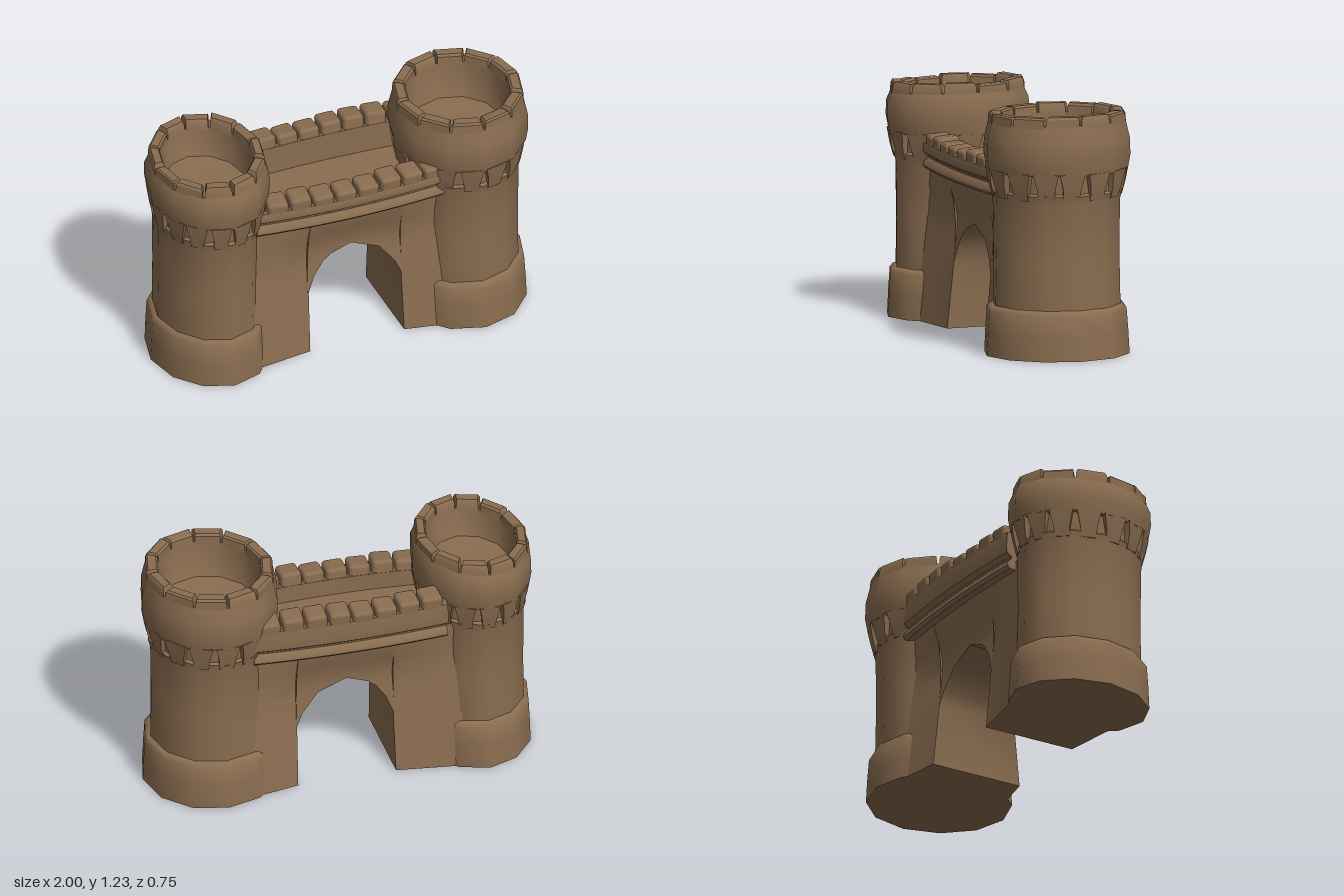
import * as THREE from 'three';
import { toCreasedNormals } from 'three/addons/utils/BufferGeometryUtils.js';
import { RoundedBoxGeometry } from 'three/addons/geometries/RoundedBoxGeometry.js';

const SIDES = 12;

export function createModel() {
  const model = new THREE.Group();
  model.name = 'castleGate';
  const stone = new THREE.MeshStandardMaterial({ color: 0x8a6d50 });
  stone.name = 'brownStone';

  // seeded variation for the hand-shaped look
  let seed = 7;
  const vary = (amount) => {
    seed = (seed * 16807) % 2147483647;
    return (seed / 2147483647 - 0.5) * 2 * amount;
  };

  const add = (parent, name, geometry) => {
    const mesh = new THREE.Mesh(geometry, stone);
    mesh.name = name;
    parent.add(mesh);
    return mesh;
  };

  // move every vertex by a rule
  const shape = (geometry, rule) => {
    const p = geometry.attributes.position;
    const v = new THREE.Vector3();
    for (let i = 0; i < p.count; i++) {
      rule(v.fromBufferAttribute(p, i));
      p.setXYZ(i, v.x, v.y, v.z);
    }
    return geometry;
  };

  // skin through closed cross-sections, with flat end caps
  const loft = (sections, crease) => {
    const m = sections[0].length;
    const index = [];
    for (let i = 0; i < sections.length - 1; i++) {
      for (let j = 0; j < m; j++) {
        const k = (j + 1) % m;
        const a = i * m + j, b = (i + 1) * m + j, c = (i + 1) * m + k, d = i * m + k;
        index.push(a, b, c, a, c, d);
      }
    }
    const last = (sections.length - 1) * m;
    for (let j = 1; j < m - 1; j++) {
      index.push(0, j, j + 1, last, last + j + 1, last + j);
    }
    const g = new THREE.BufferGeometry();
    g.setAttribute('position', new THREE.Float32BufferAttribute(sections.flat(2), 3));
    g.setIndex(index);
    return toCreasedNormals(g, crease);
  };

  // block following part of a ring: angles and radii at each level
  const ringBlock = (...levels) => loft(levels.map(({ mid, half, rIn, rOut, y }) =>
    [[mid - half, rOut], [mid - half, rIn], [mid + half, rIn], [mid + half, rOut]]
      .map(([a, r]) => [r * Math.sin(a), y, r * Math.cos(a)])), 0.6);

  const lathe = (profile, rule) => {
    const g = new THREE.LatheGeometry(profile.map(([r, y]) => new THREE.Vector2(r, y)), SIDES);
    return toCreasedNormals(shape(g, rule), 0.8);
  };

  const buildTower = (name, x, squash, top, tilt, phase) => {
    const tower = new THREE.Group();
    tower.name = name;
    tower.position.set(x, 0, -0.005);
    tower.scale.x = squash;
    const uneven = (v) => {
      const s = 1 + 0.01 * Math.sin(3 * Math.atan2(v.x, v.z) + phase + v.y * 2);
      v.x *= s;
      v.z *= s;
    };

    add(tower, 'towerBase', lathe(
      [[0, 0], [0.37, 0], [0.364, 0.12], [0.356, 0.23], [0.34, 0.248], [0.31, 0.252]], uneven));
    // the shaft flares into a sill under the niches
    add(tower, 'towerShaft', lathe(
      [[0.325, 0.24], [0.321, 0.5], [0.324, 0.78], [0.337, 0.825], [0.322, 0.835], [0.328, 0.95]],
      uneven));

    // hollow head
    const rim = top - 0.045;
    add(tower, 'towerHead', lathe(
      [[0.32, 0.93], [0.361, 0.93], [0.374, 1.0], [0.372, 1.08], [0.349, rim],
        [0.28, rim], [0.27, 1.06], [0.25, 0.985], [0, 0.965]],
      (v) => { if (v.y > 1.07) v.y += tilt * v.x; }));

    // corbels widening upwards, leaving pointed niches between them
    const count = 15;
    for (let i = 0; i < count; i++) {
      const mid = ((i + 0.5) / count) * Math.PI * 2 + vary(0.02);
      add(tower, 'corbel', ringBlock(
        { mid, half: 0.118, rIn: 0.31, rOut: 0.328, y: 0.8 },
        { mid, half: 0.135, rIn: 0.31, rOut: 0.345, y: 0.86 },
        { mid, half: 0.182, rIn: 0.31, rOut: 0.362, y: 0.938 }));
    }

    // closely set merlons, one on each side of the rim
    for (let i = 0; i < SIDES; i++) {
      const mid = ((i + 0.5) / SIDES) * Math.PI * 2;
      const lift = tilt * 0.31 * Math.sin(mid);
      add(tower, 'merlon', ringBlock(
        { mid, half: 0.248, rIn: 0.277, rOut: 0.351, y: rim + lift - 0.015 },
        { mid, half: 0.238, rIn: 0.28, rOut: 0.347, y: top + lift - 0.012 },
        { mid, half: 0.22 + vary(0.015), rIn: 0.29, rOut: 0.336, y: top + lift + vary(0.007) }));
    }
    model.add(tower);
  };

  buildTower('rightTower', -0.7, 0.805, 1.175, 0.05, 0);
  buildTower('leftTower', 0.65, 0.93, 1.218, 0.03, 1.5);

  // gate wall with a pointed arch: [x, underside height]
  const arch = [[-0.58, 0], [-0.4, 0], [-0.24, 0], [-0.235, 0.33], [-0.2, 0.42], [-0.15, 0.49],
    [-0.11, 0.52], [0, 0.56], [0.15, 0.5], [0.23, 0.4], [0.262, 0.33], [0.265, 0], [0.42, 0],
    [0.56, 0]];
  const rows = 10;
  // narrows up to the arch, then sweeps out to carry the parapets
  const wallHalf = (x, y) => {
    const lower = 0.25 - 0.1 * y + 0.05 * THREE.MathUtils.smoothstep(Math.abs(x), 0.25, 0.56);
    const upper = 0.25 - 0.06 * x * x;
    return THREE.MathUtils.lerp(lower, upper, THREE.MathUtils.smoothstep(y, 0.52, 0.78));
  };
  add(model, 'gateWall', loft(arch.map(([x, h]) => {
    const section = [];
    for (const side of [1, -1]) {
      for (let j = 0; j <= rows; j++) {
        const t = side > 0 ? j / rows : 1 - j / rows;
        const y = h + (0.81 - h) * t;
        section.push([x, y, side * wallHalf(x, y) - 0.02]);
      }
    }
    return section;
  }), 0.7));

  // parapets: a grooved ledge, a bowed breastwork and rounded merlons
  const buildParapet = (name, turn, inner, outer, height, bow, length) => {
    const parapet = new THREE.Group();
    parapet.name = name;
    const profile = new THREE.Shape([
      [inner, 0.78], [outer - 0.05, 0.762], [outer - 0.02, 0.765], [outer - 0.006, 0.78],
      [outer - 0.008, 0.8], [outer - 0.03, 0.822], [outer - 0.028, 0.832], [outer - 0.004, 0.85],
      [outer, 0.88], [outer - 0.006, height], [inner, height],
    ].map(([z, y]) => new THREE.Vector2(z, y)));
    const g = new THREE.ExtrudeGeometry(profile, { depth: length, steps: 10, bevelEnabled: false });
    // turn the extrusion along x
    g.rotateY(-Math.PI / 2);
    shape(g, (v) => {
      v.x += length / 2;
      v.z -= bow * v.x * v.x;
    });
    add(parapet, 'breastwork', toCreasedNormals(g, 0.7));

    const merlons = 8;
    const pitch = 0.95 / merlons;
    for (let i = 0; i < merlons; i++) {
      const x = (i - (merlons - 1) / 2) * pitch;
      const tall = 0.08 + vary(0.008);
      const box = new RoundedBoxGeometry(pitch - 0.01, tall, outer - inner - 0.006, 2, 0.02);
      const m = add(parapet, 'merlon', box);
      m.position.set(x, height - 0.025 + tall / 2, (inner + outer) / 2 - bow * x * x);
      m.rotation.set(0.08, Math.atan(2 * bow * x), vary(0.05));
    }
    parapet.rotation.y = turn;
    model.add(parapet);
  };
  buildParapet('frontParapet', 0, 0.16, 0.285, 0.9, 0.12, 1.06);
  buildParapet('backParapet', Math.PI, 0.205, 0.33, 0.96, 0.09, 1.0);

  return model;
}
